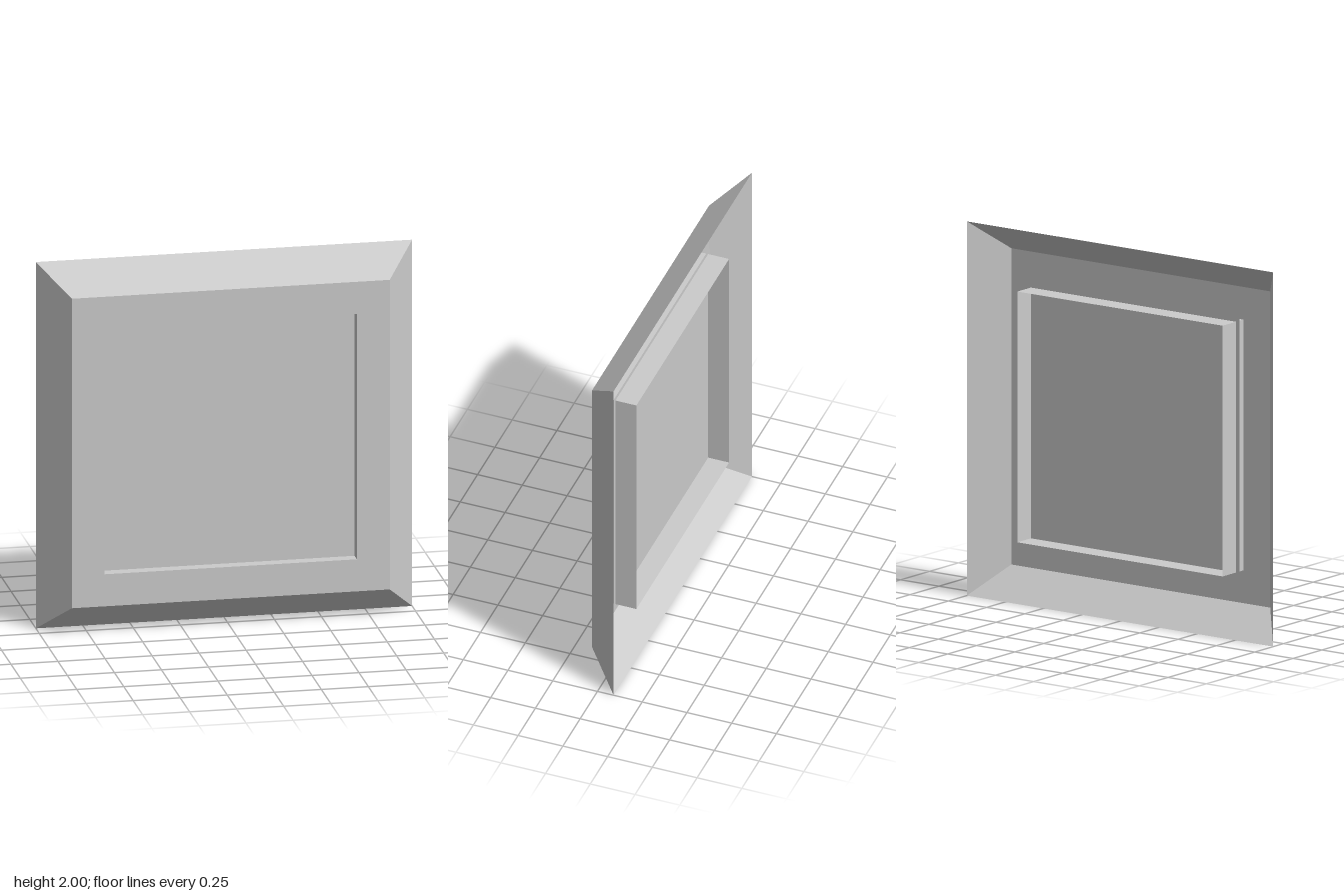
import * as THREE from 'three';

const material = new THREE.MeshStandardMaterial({ color: 0xcccccc, flatShading: true, side: THREE.DoubleSide });

const FRONT = 0.09, BACK = -0.09, PANEL = 0.027; // z levels
const OUTER = 1, FACE = 0.845, OPENING = 0.67, FLANGE = 0.693; // half widths

function part(name, geometry) {
  const mesh = new THREE.Mesh(geometry, material);
  mesh.name = name;
  return mesh;
}

// Four thin walls joining a square at zFront to a square at zBack
function squareWalls(halfFront, halfBack, zFront, zBack) {
  return new THREE.CylinderGeometry(halfFront * Math.SQRT2, halfBack * Math.SQRT2, zFront - zBack, 4, 1, true)
    .rotateY(Math.PI / 4)
    .rotateX(Math.PI / 2)
    .translate(0, 0, (zFront + zBack) / 2);
}

function squarePath(path, half) {
  path.moveTo(-half, -half);
  path.lineTo(half, -half);
  path.lineTo(half, half);
  path.lineTo(-half, half);
  path.closePath();
  return path;
}

export function createModel() {
  const model = new THREE.Group();
  model.name = 'framedPanel';

  // Sloping outer sides, open at the back
  model.add(part('bevelledSides', squareWalls(FACE, OUTER, FRONT, BACK)));

  // Flat front border around the square opening
  const border = squarePath(new THREE.Shape(), FACE);
  border.holes.push(squarePath(new THREE.Path(), OPENING));
  model.add(part('frontBorder', new THREE.ShapeGeometry(border).translate(0, 0, FRONT)));

  // Walls of the shallow front recess and of the deeper rear collar
  model.add(part('recessWalls', squareWalls(OPENING, OPENING, FRONT, PANEL)));
  model.add(part('rearCollar', squareWalls(OPENING, OPENING, PANEL, BACK)));

  // Inset panel, whose edge shows as a narrow flange behind the border
  model.add(part('insetPanel', new THREE.PlaneGeometry(2 * FLANGE, 2 * FLANGE).translate(0, 0, PANEL)));

  model.children.forEach((mesh) => { mesh.position.y = OUTER; });
  return model;
}
